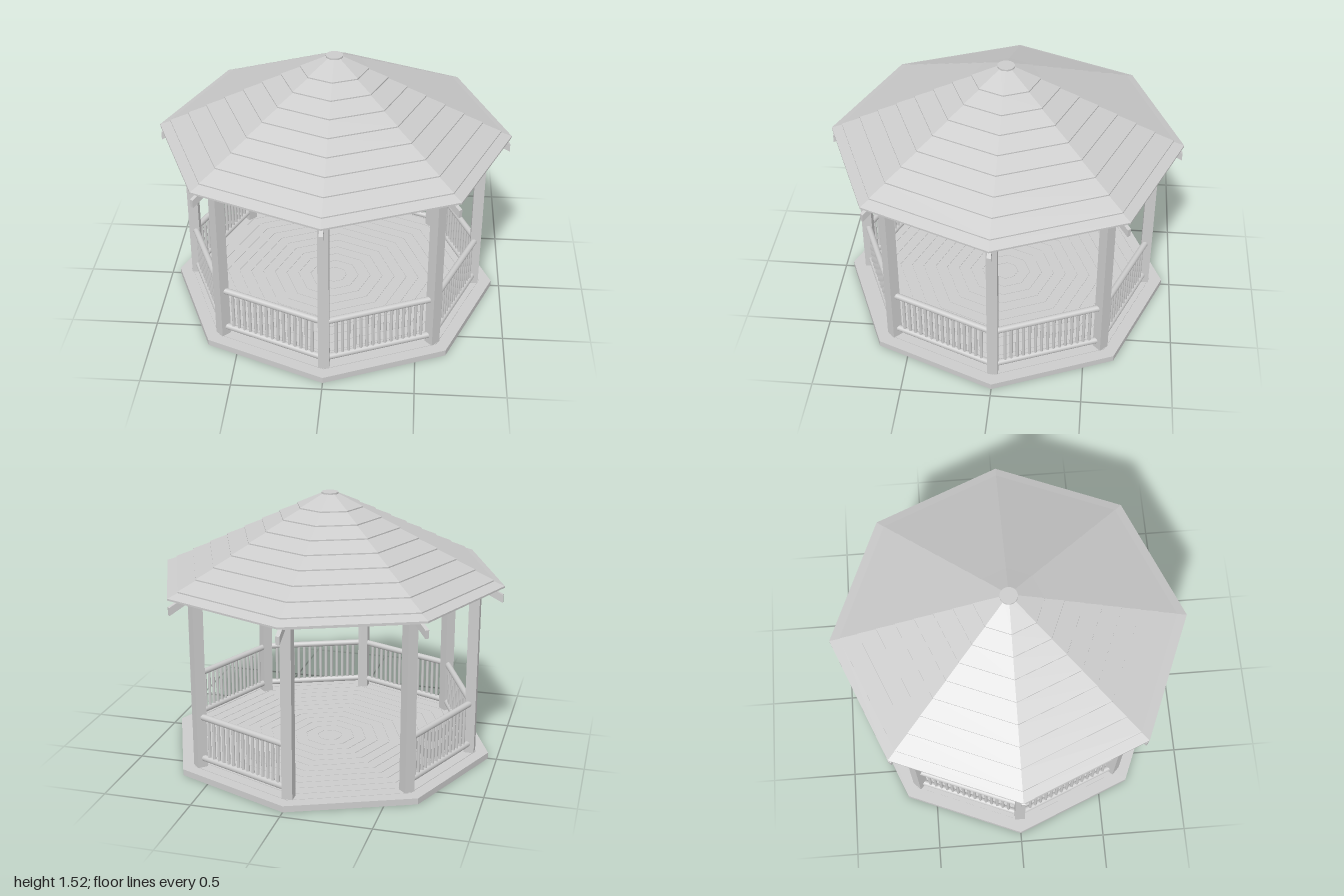
import * as THREE from 'three';

const SIDES = 8;
const STEP = (Math.PI * 2) / SIDES;
const POST_R = 0.84; // post centres
const OPEN_SIDE = 2; // entrance without railing

const smooth = new THREE.MeshStandardMaterial({ color: 0xcccccc });
const flat = new THREE.MeshStandardMaterial({ color: 0xcccccc, flatShading: true });

function add(parent, name, geometry, material, x = 0, y = 0, z = 0) {
  const mesh = new THREE.Mesh(geometry, material);
  mesh.name = name;
  mesh.position.set(x, y, z);
  parent.add(mesh);
  return mesh;
}

// Eight-sided solid turned from a profile of [radius, height] pairs
function octagon(profile) {
  return new THREE.LatheGeometry(profile.map(([r, y]) => new THREE.Vector2(r, y)), SIDES);
}

// Floor slab with ring boards separated by shallow grooves
function floorGeometry() {
  const top = 0.036, groove = 0.003, rows = 13;
  const profile = [[0, 0], [0.95, 0], [0.95, top]];
  for (let i = rows - 1; i > 0; i--) {
    const r = (0.95 * i) / rows;
    profile.push([r + 0.002, top], [r + 0.002, top - groove], [r - 0.002, top - groove], [r - 0.002, top]);
  }
  profile.push([0, top]);
  return octagon(profile);
}

// Roof shell: smooth underside, overlapping shingle courses on top
function roofGeometry() {
  const slope = 0.495, lip = 0.007;
  const height = (r) => 1.046 + slope * (1 - r);
  const profile = [[0, height(0) - 0.02], [1, 1.04]];
  const edges = [1];
  for (let i = 0; i < 8; i++) edges.push(0.94 - i * 0.107);
  edges.push(0.04);
  for (let i = 0; i < edges.length - 1; i++) {
    profile.push([edges[i], height(edges[i]) + lip * 0.6]);
    profile.push([edges[i + 1], height(edges[i + 1]) - lip * 0.4]);
  }
  profile.push([0, height(0.04)]);
  return octagon(profile);
}

// Sloping rafter with a plumb-cut tail, running along +x
function rafterGeometry() {
  const width = 0.022;
  const shape = new THREE.Shape();
  shape.moveTo(0.02, 1.44);
  shape.lineTo(0.995, 0.955);
  shape.lineTo(0.995, 1.0);
  shape.lineTo(0.02, 1.485);
  shape.closePath();
  return new THREE.ExtrudeGeometry(shape, { depth: width, bevelEnabled: false }).translate(0, 0, -width / 2);
}

export function createModel() {
  const model = new THREE.Group();
  model.name = 'gazebo';

  add(model, 'floor', floorGeometry(), flat);
  add(model, 'roof', roofGeometry(), flat);

  // Eaves ring, hub and cap
  add(model, 'eavesBeam',
    octagon([[0.91, 1.02], [0.95, 1.02], [0.95, 1.06], [0.91, 1.08], [0.91, 1.02]]), flat);
  add(model, 'rafterHub', new THREE.CylinderGeometry(0.04, 0.04, 0.1, 24), smooth, 0, 1.455, 0);
  add(model, 'roofCap', new THREE.CylinderGeometry(0.048, 0.048, 0.018, 32), smooth, 0, 1.514, 0);

  // Posts and rafters at the corners
  const postGeo = new THREE.BoxGeometry(0.06, 1.02, 0.06);
  const rafterGeo = rafterGeometry();
  for (let i = 0; i < SIDES; i++) {
    const corner = new THREE.Group();
    corner.name = 'corner';
    corner.rotation.y = i * STEP;
    add(corner, 'post', postGeo, flat, POST_R, 0.545, 0);
    add(corner, 'rafter', rafterGeo, flat);
    model.add(corner);
  }

  // Railings between the posts
  const length = 2 * POST_R * Math.sin(STEP / 2);
  const apothem = POST_R * Math.cos(STEP / 2);
  const railGeo = new THREE.CylinderGeometry(0.018, 0.018, length, 16).rotateX(Math.PI / 2);
  const balusterGeo = new THREE.CylinderGeometry(0.009, 0.009, 0.25, 12);
  const count = 15, spacing = 0.0357;
  for (let i = 0; i < SIDES; i++) {
    if (i === OPEN_SIDE) continue;
    const railing = new THREE.Group();
    railing.name = 'railing';
    railing.rotation.y = (i + 0.5) * STEP;
    add(railing, 'topRail', railGeo, smooth, apothem, 0.338, 0);
    add(railing, 'bottomRail', railGeo, smooth, apothem, 0.089, 0);
    for (let j = 0; j < count; j++) {
      add(railing, 'baluster', balusterGeo, smooth, apothem, 0.213, (j - (count - 1) / 2) * spacing);
    }
    model.add(railing);
  }
  return model;
}
